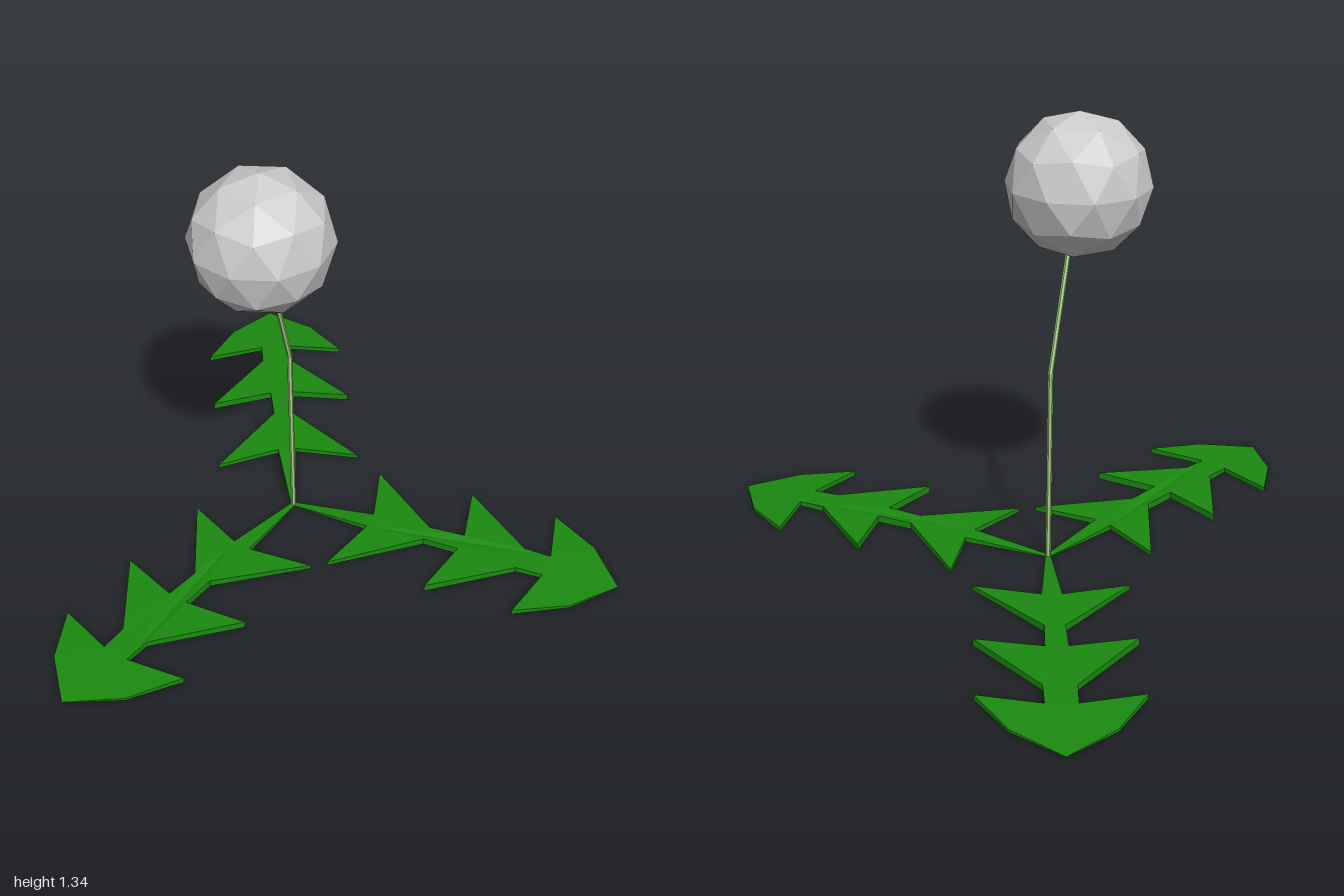
import * as THREE from 'three';

const BASE = [-0.25, 0, -0.045];
const LEAF_LENGTH = 1.08;

// One half of the toothed leaf outline: distance along the leaf, half width
const HALF = [
  [0, 0.008], [0.265, 0.03], [0.21, 0.23], [0.455, 0.03], [0.57, 0.033], [0.53, 0.23],
  [0.765, 0.047], [0.85, 0.045], [0.81, 0.23], [0.965, 0.14], [LEAF_LENGTH, 0],
];

// Flat-bottomed leaf whose top arches gently from base to tip
function leafGeometry() {
  const mirrored = HALF.slice(0, -1).reverse().map(([s, w]) => [s, -w]);
  const outline = [...HALF, ...mirrored].map(([s, w]) => new THREE.Vector2(s, w));
  const geo = new THREE.ExtrudeGeometry(new THREE.Shape(outline), { depth: 1, bevelEnabled: false });
  geo.rotateX(-Math.PI / 2);
  const p = geo.attributes.position;
  for (let i = 0; i < p.count; i++) {
    const arch = 0.002 + 0.02 * Math.sin((Math.PI * p.getX(i)) / LEAF_LENGTH);
    p.setY(i, p.getY(i) > 0.5 ? arch : 0);
  }
  geo.computeVertexNormals();
  return geo;
}

// Thin stalk: upright, then bent forward into the head
function stalkGeometry() {
  const geo = new THREE.CylinderGeometry(0.008, 0.008, 2, 6, 2);
  const p = geo.attributes.position;
  for (let i = 0; i < p.count; i++) {
    const row = Math.round(p.getY(i)) + 1;
    p.setY(i, [0, 0.595, 0.945][row]);
    p.setZ(i, p.getZ(i) + [0, 0, 0.115][row]);
  }
  geo.computeVertexNormals();
  return geo;
}

export function createModel() {
  const model = new THREE.Group();
  const leafMat = new THREE.MeshStandardMaterial({ color: 0x1b8a10, flatShading: true });
  const stalkMat = new THREE.MeshStandardMaterial({ color: 0xa5d080, flatShading: true });
  const headMat = new THREE.MeshStandardMaterial({ color: 0xcccccc, flatShading: true });

  // Three leaves spread on the ground
  const leafGeo = leafGeometry();
  [0, 117.5, -105.2].forEach((deg, i) => {
    const leaf = new THREE.Mesh(leafGeo, leafMat);
    leaf.name = `leaf${i + 1}`;
    leaf.position.set(...BASE);
    leaf.rotation.y = THREE.MathUtils.degToRad(deg);
    model.add(leaf);
  });

  const stalk = new THREE.Mesh(stalkGeometry(), stalkMat);
  stalk.name = 'stalk';
  stalk.position.set(...BASE);
  model.add(stalk);

  // Faceted seed head, turned so a corner points straight up
  const headGeo = new THREE.IcosahedronGeometry(0.2175, 1);
  headGeo.rotateX(-Math.atan((1 + Math.sqrt(5)) / 2));
  headGeo.rotateY(Math.PI / 2);
  const head = new THREE.Mesh(headGeo, headMat);
  head.name = 'seedHead';
  head.position.set(-0.25, 1.122, 0.13);
  model.add(head);

  return model;
}
